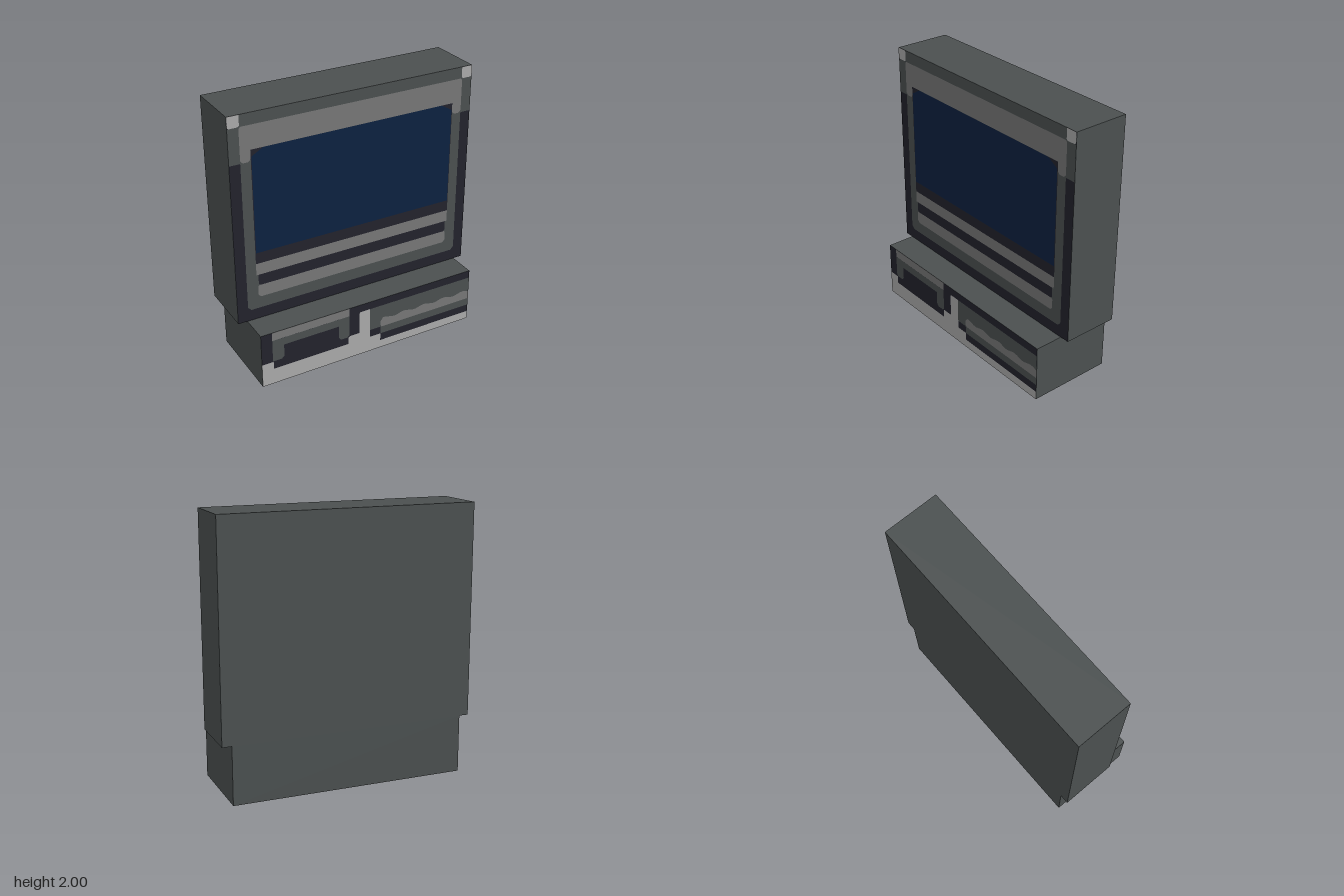
import * as THREE from 'three';

const mat = (name, color) => new THREE.MeshStandardMaterial({ name, color });

export function createModel() {
  const casing = mat('casing grey', 0x4b5050);
  const dark = mat('dark trim', 0x22222c);
  const mid = mat('mid grey', 0x777777);
  const light = mat('light grey', 0xaaaaaa);
  const navy = mat('screen navy', 0x0c2140);

  const model = new THREE.Group();
  model.name = 'monitorOnBase';

  function box(name, w, y0, y1, z0, z1) {
    const mesh = new THREE.Mesh(new THREE.BoxGeometry(w, y1 - y0, z1 - z0), casing);
    mesh.position.set(0, (y0 + y1) / 2, (z0 + z1) / 2);
    mesh.name = name;
    model.add(mesh);
  }
  box('cabinet', 1.89, 0.43, 2, -0.32, 0.103);
  box('base', 1.75, 0, 0.43, -0.32, 0.318);

  // Thin painted faces, each layer slightly in front of the last
  const panel = (frontZ) => (name, material, layer, points) => {
    const shape = new THREE.Shape(points.map(([x, y]) => new THREE.Vector2(x, y)));
    const mesh = new THREE.Mesh(new THREE.ShapeGeometry(shape), material);
    mesh.position.z = frontZ + 0.0007 * layer;
    mesh.name = name;
    model.add(mesh);
  };
  // Rectangle with optional cut bottom (b) and top (t) corners
  const rect = (x0, y0, x1, y1, b = 0, t = 0) => [
    ...(b ? [[x0, y0 + b], [x0 + b, y0], [x1 - b, y0], [x1, y0 + b]] : [[x0, y0], [x1, y0]]),
    ...(t ? [[x1, y1 - t], [x1 - t, y1], [x0 + t, y1], [x0, y1 - t]] : [[x1, y1], [x0, y1]]),
  ];

  // Cabinet front
  const upper = panel(0.103);
  upper('cabinetFront', dark, 1, rect(-0.945, 0.43, 0.945, 2));
  upper('frame', casing, 2, rect(-0.865, 0.515, 0.865, 2, 0.025));
  for (const s of [-1, 1]) {
    const side = s < 0 ? 'right' : 'left';
    const span = (a, b) => (s < 0 ? [-b, -a] : [a, b]);
    const [o0, o1] = span(0.86, 0.945);
    upper(side + 'EdgeStrip', casing, 2, rect(o0, 1.655, o1, 1.915));
    upper(side + 'CornerCap', light, 4, rect(o0, 1.915, o1, 2, 0.01));
    const [l0, l1] = span(0.79, 0.865);
    upper(side + 'FrameLeg', mid, 3, rect(l0, 1.655, l1, 1.76, 0.018));
  }
  upper('frameTop', mid, 3, rect(-0.865, 1.74, 0.865, 1.915, 0, 0.012));
  upper('screenSurround', dark, 4, rect(-0.79, 0.875, 0.79, 1.74));
  upper('screen', navy, 5, [
    [-0.785, 0.96], [0.785, 0.96], [0.785, 1.69], [0.7, 1.74], [-0.7, 1.74], [-0.785, 1.69],
  ]);
  upper('upperBar', mid, 4, rect(-0.79, 0.785, 0.79, 0.875));
  upper('slot', dark, 4, rect(-0.775, 0.7, 0.775, 0.785, 0.012));
  upper('lowerBar', mid, 4, rect(-0.78, 0.605, 0.78, 0.7, 0.018, 0.01));

  // Base front
  const lower = panel(0.318);
  lower('baseFront', dark, 1, rect(-0.875, 0, 0.875, 0.43));
  lower('basePlinth', light, 2, [
    [-0.875, 0], [0.875, 0], [0.875, 0.065], [0.09, 0.065], [0.09, 0.125], [0, 0.125],
    [0, 0.37], [-0.08, 0.37], [-0.09, 0.36], [-0.09, 0.19], [-0.17, 0.19], [-0.18, 0.18],
    [-0.18, 0.125], [-0.785, 0.125], [-0.785, 0.185], [-0.875, 0.185],
  ]);
  lower('bayBar', mid, 2, rect(-0.79, 0.365, -0.175, 0.43));
  lower('bayFrame', casing, 3, [
    [-0.79, 0.19], [-0.72, 0.19], [-0.7, 0.21], [-0.7, 0.305], [-0.26, 0.305], [-0.26, 0.205],
    [-0.245, 0.185], [-0.19, 0.185], [-0.175, 0.2], [-0.175, 0.365], [-0.79, 0.365],
  ]);
  lower('ventPanel', casing, 3, [
    [0.09, 0.125], [0.875, 0.125], [0.875, 0.37], [0, 0.37], [0, 0.185], [0.09, 0.185],
  ]);

  // Wavy-topped strip across the vent panel
  const wave = [];
  for (let i = 0; i <= 30; i++) {
    const x = 0.875 - (0.765 * i) / 30;
    wave.push([x, 0.254 - 0.009 * Math.cos(((x - 0.38) * Math.PI * 2) / 0.175)]);
  }
  lower('wavyStrip', mid, 4, [[0.1, 0.185], [0.875, 0.185], ...wave, [0.09, 0.235], [0.09, 0.2]]);
  return model;
}
